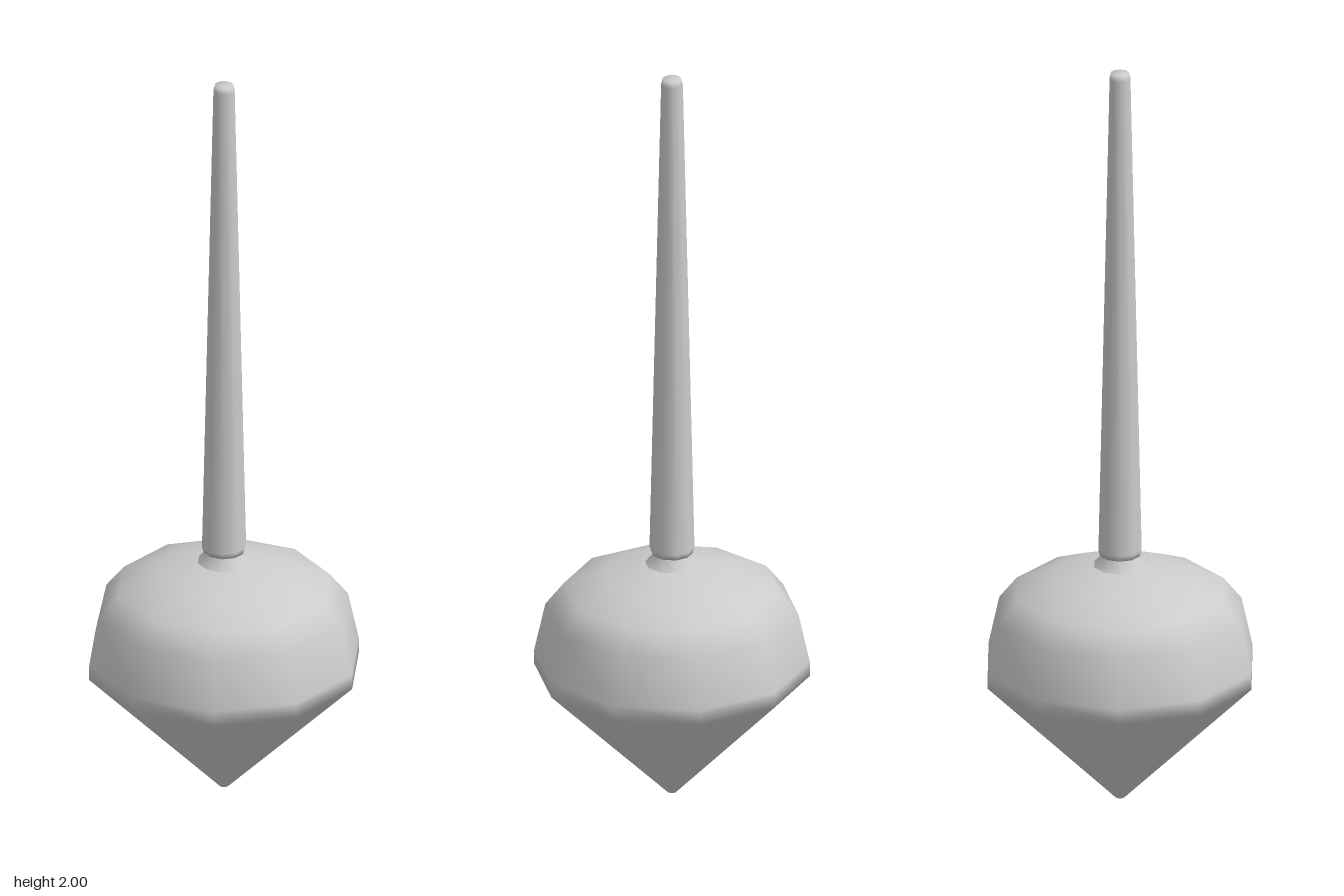
import * as THREE from 'three';

const SIDES = 10;

// Ten-sided turned part; profile is a list of [radius, height] from bottom to top
function turned(name, profile) {
  const points = profile.map(([r, y]) => new THREE.Vector2(r, y));
  const geometry = new THREE.LatheGeometry(points, SIDES, Math.PI / 2);
  const mesh = new THREE.Mesh(geometry, new THREE.MeshStandardMaterial({ color: 0xcccccc }));
  mesh.name = name;
  return mesh;
}

export function createModel() {
  const group = new THREE.Group();
  group.name = 'spinningTop';

  // Pointed cone below, rounded shoulder above
  group.add(turned('body', [
    [0, 0], [0.012, 0.005], [0.355, 0.345], [0.355, 0.385], [0.326, 0.515],
    [0.278, 0.575], [0.18, 0.617], [0.07, 0.645], [0, 0.645],
  ]));

  // Sloped ring between body and stem
  group.add(turned('collar', [[0.07, 0.644], [0.046, 0.672], [0.046, 0.685]]));

  // Long tapering handle with softened ends
  group.add(turned('stem', [
    [0, 0.674], [0.053, 0.674], [0.058, 0.69], [0.028, 1.985], [0.024, 2], [0, 2],
  ]));

  return group;
}
